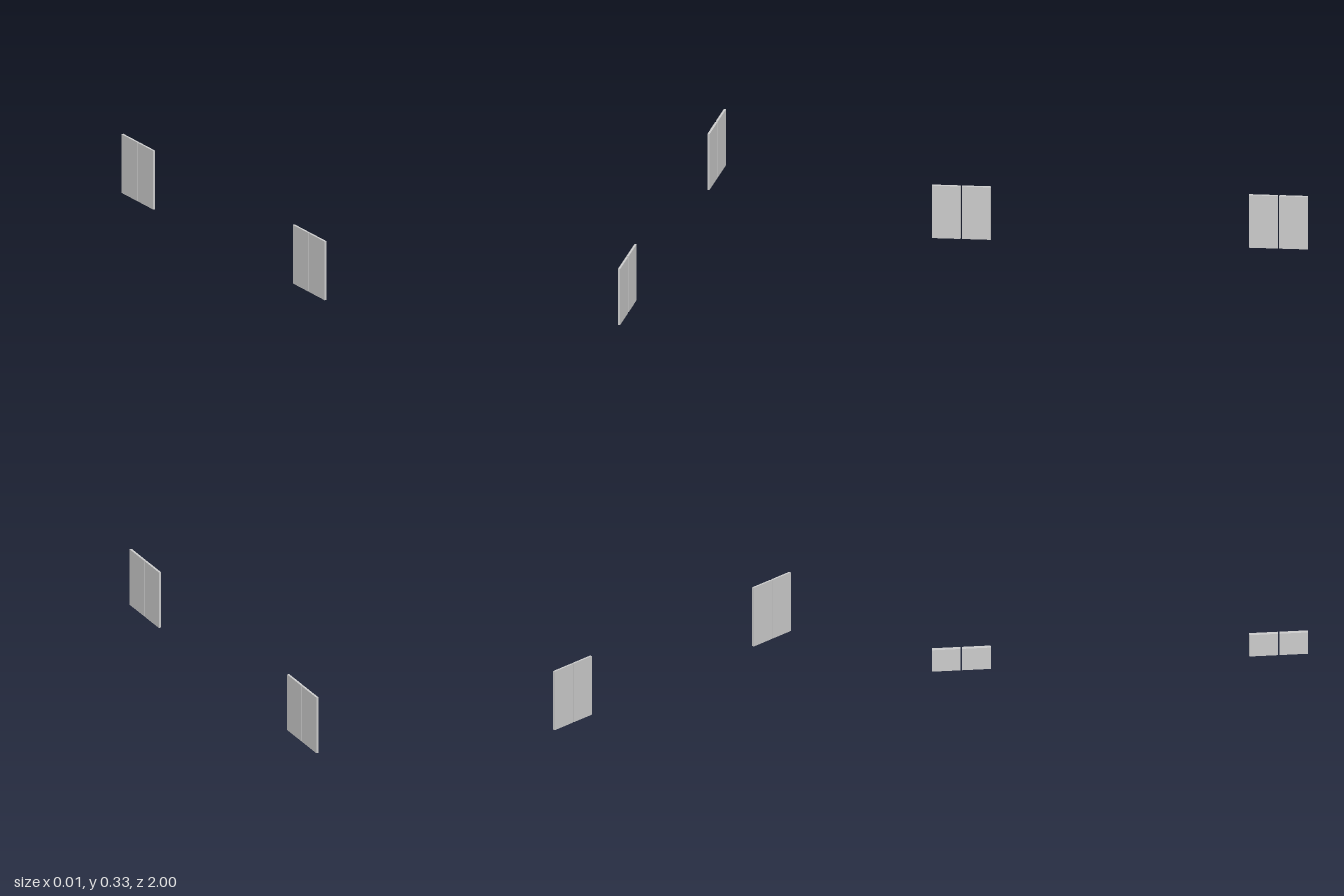
import * as THREE from 'three';

const HEIGHT = 0.331;
const THICKNESS = 0.012;
const OUTER = 1;      // outer edge of each pair along z
const INNER = 0.687;  // inner edge of each pair along z
const GAP = 0.007;    // slit between the two leaves

export function createModel() {
  const model = new THREE.Group();
  model.name = 'doublePanels';
  const material = new THREE.MeshStandardMaterial({ color: 0xcccccc });

  const width = (OUTER - INNER - GAP) / 2;
  const leaf = new THREE.BoxGeometry(THICKNESS, HEIGHT, width);

  // One pair of upright leaves at the front, one mirrored at the back
  for (const [side, label] of [[1, 'front'], [-1, 'back']]) {
    const pair = new THREE.Group();
    pair.name = `${label}PanelPair`;
    for (const [z, place] of [[OUTER - width / 2, 'Outer'], [INNER + width / 2, 'Inner']]) {
      const panel = new THREE.Mesh(leaf, material);
      panel.name = `${label}${place}Panel`;
      panel.position.set(0, HEIGHT / 2, side * z);
      pair.add(panel);
    }
    model.add(pair);
  }
  return model;
}
